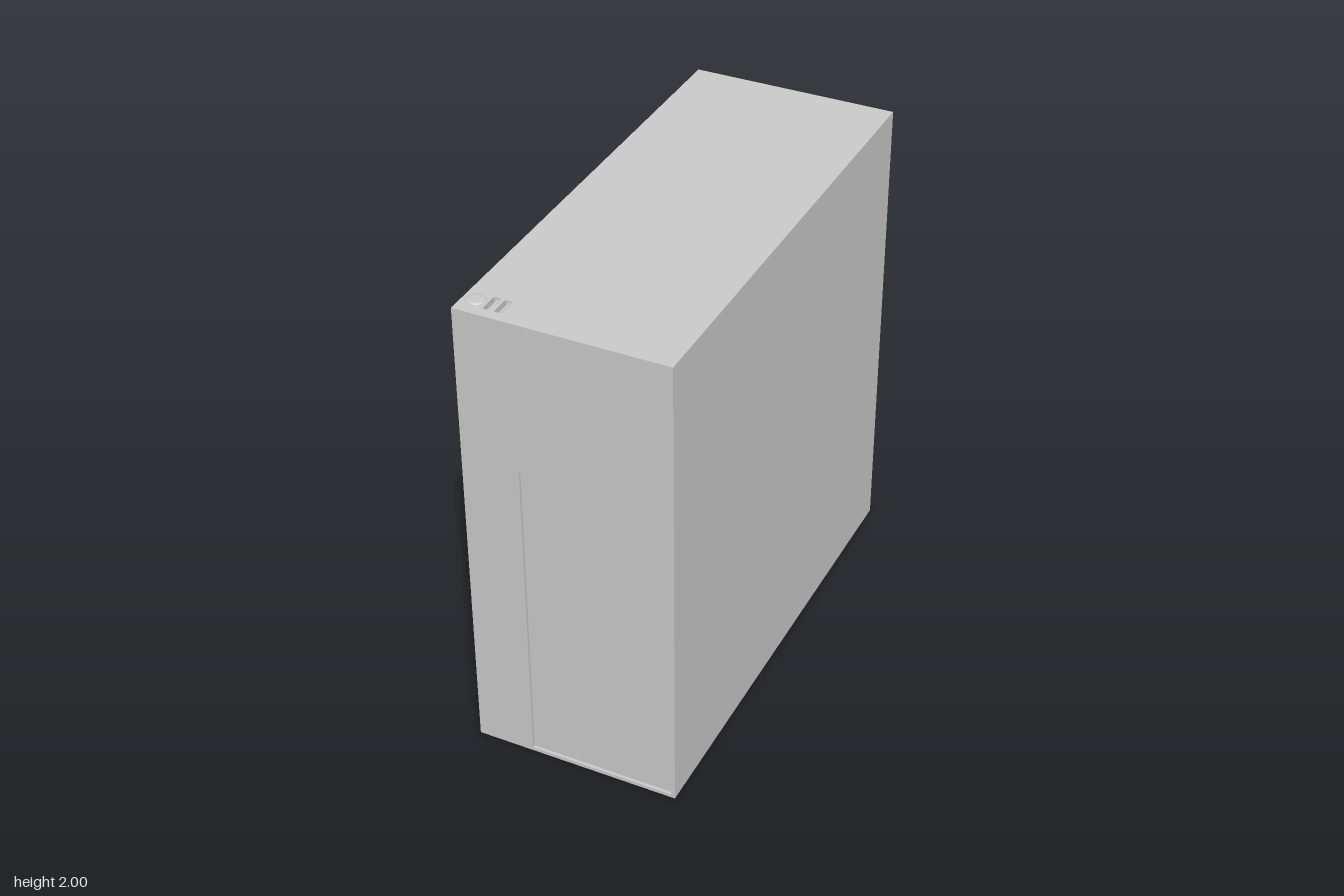
import * as THREE from 'three';

const W = 0.854, H = 1.995, D = 2;
const material = new THREE.MeshStandardMaterial({ color: 0xcccccc });

function part(name, geometry, parent) {
  const mesh = new THREE.Mesh(geometry, material);
  mesh.name = name;
  parent.add(mesh);
  return mesh;
}

// Rectangular wall in its own XY plane, with rectangular openings
function wall(w, h, openings = []) {
  const rect = (P, x0, y0, x1, y1) => new P([
    new THREE.Vector2(x0, y0), new THREE.Vector2(x1, y0),
    new THREE.Vector2(x1, y1), new THREE.Vector2(x0, y1)]);
  const shape = rect(THREE.Shape, -w / 2, -h / 2, w / 2, h / 2);
  for (const o of openings) shape.holes.push(rect(THREE.Path, o.x0, o.y0, o.x1, o.y1));
  return new THREE.ShapeGeometry(shape);
}

// Inward-facing box without its lid, sunk below z = 0
function pocket({ x0, y0, x1, y1 }, depth) {
  const g = new THREE.BoxGeometry(x1 - x0, y1 - y0, depth);
  const index = Array.from(g.index.array);
  index.splice(24, 6);
  g.setIndex(index);
  g.scale(-1, 1, 1);
  g.computeVertexNormals();
  return g.translate((x0 + x1) / 2, (y0 + y1) / 2, -depth / 2);
}

export function createModel() {
  const model = new THREE.Group();
  model.name = 'computerCase';

  // Front with the shallow recessed panel
  const front = new THREE.Group();
  front.name = 'front';
  front.position.set(0, H / 2, D / 2);
  const panel = { x0: -0.19, x1: 0.41, y0: 0.015 - H / 2, y1: 1.36 - H / 2 };
  part('frontWall', wall(W, H, [panel]), front);
  part('recessedFrontPanel', pocket(panel, 0.012), front);

  // Top with two port slots (local y runs towards the back)
  const top = new THREE.Group();
  top.name = 'top';
  top.position.y = H;
  top.rotation.x = -Math.PI / 2;
  const slots = [-0.327, -0.281].map(x => ({ x0: x, x1: x + 0.029, y0: -0.957, y1: -0.874 }));
  part('topWall', wall(W, D, slots), top);
  for (const s of slots) {
    part('portSlot', pocket(s, 0.03), top);
    // Contact tongue inside the slot
    const tongue = part('portTongue', new THREE.BoxGeometry(0.01, 0.075, 0.025), top);
    tongue.position.set(s.x0 + 0.02, (s.y0 + s.y1) / 2, -0.0165);
  }

  // Plain remaining walls
  part('backWall', wall(W, H).rotateY(Math.PI).translate(0, H / 2, -D / 2), model);
  part('bottomWall', wall(W, D).rotateX(Math.PI / 2), model);
  for (const s of [-1, 1]) {
    part(s > 0 ? 'leftWall' : 'rightWall',
      wall(D, H).rotateY(s * Math.PI / 2).translate(s * W / 2, H / 2, 0), model);
  }

  // Low domed power button
  const profile = [[0.037, 0], [0.036, 0.002], [0.032, 0.004], [0.02, 0.005], [0, 0.005]]
    .map(([r, y]) => new THREE.Vector2(r, y));
  const button = part('powerButton', new THREE.LatheGeometry(profile, 32), model);
  button.position.set(-0.377, H, 0.915);

  model.add(front, top);
  return model;
}
